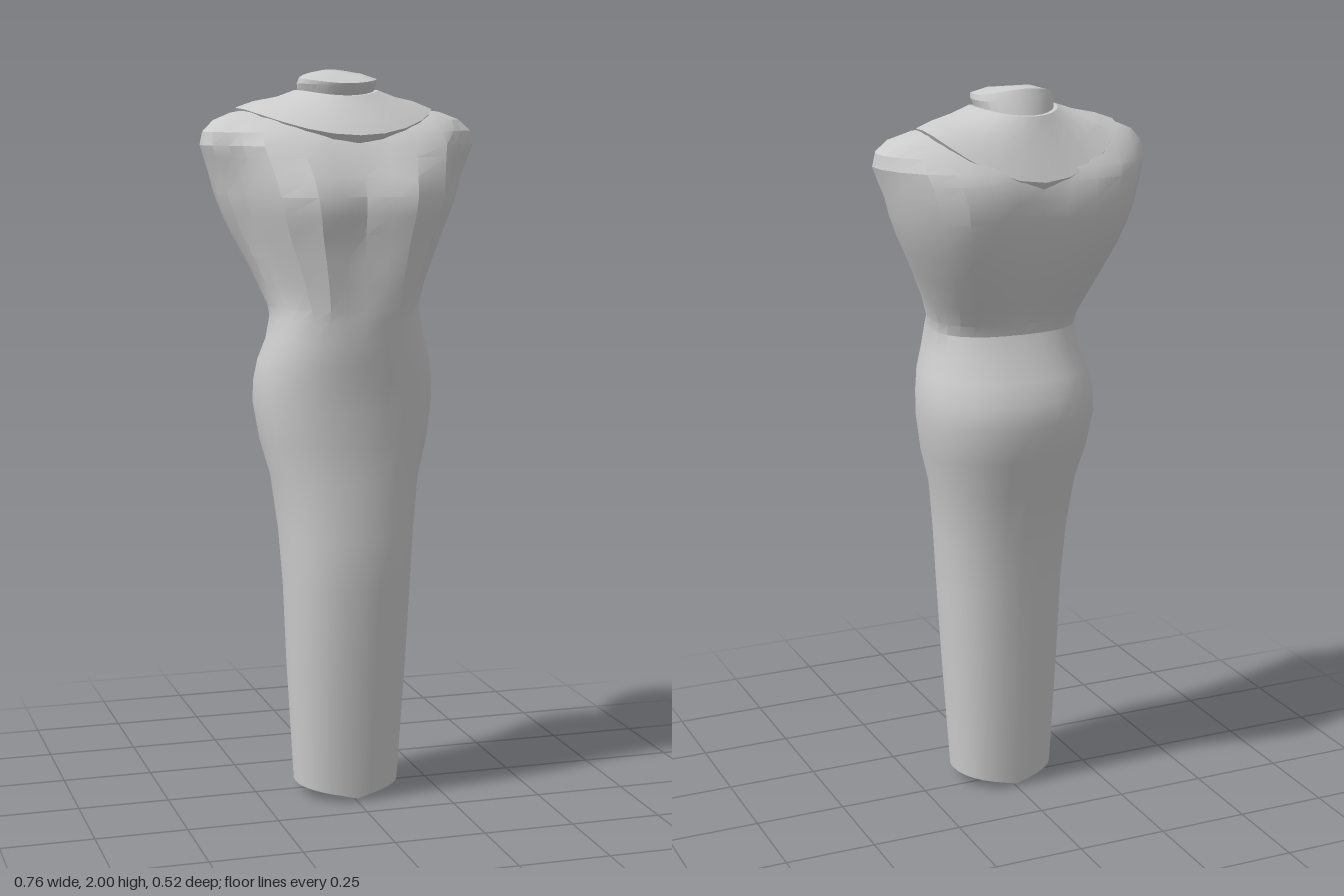
import * as THREE from 'three';
import { toCreasedNormals } from 'three/addons/utils/BufferGeometryUtils.js';

const material = new THREE.MeshStandardMaterial({ color: 0xcccccc, side: THREE.DoubleSide });

// Skin a stack of closed rings (lists of Vector3, bottom to top); optional end points close it.
function loft(rings, bottom, top, crease = 0.4) {
  const n = rings[0].length, pos = [], index = [];
  rings.forEach(r => r.forEach(p => pos.push(p.x, p.y, p.z)));
  for (let j = 0; j < rings.length - 1; j++) {
    for (let i = 0; i < n; i++) {
      const a = j * n + i, b = j * n + (i + 1) % n;
      index.push(a, b, b + n, a, b + n, a + n);
    }
  }
  const cap = (point, start, flip) => {
    const c = pos.length / 3;
    pos.push(point.x, point.y, point.z);
    for (let i = 0; i < n; i++) {
      const a = start + i, b = start + (i + 1) % n;
      index.push(c, flip ? b : a, flip ? a : b);
    }
  };
  if (bottom) cap(bottom, 0, true);
  if (top) cap(top, (rings.length - 1) * n, false);
  const g = new THREE.BufferGeometry();
  g.setAttribute('position', new THREE.Float32BufferAttribute(pos, 3));
  g.setIndex(index);
  return toCreasedNormals(g, crease);
}

// Half outline of the chest, front centre to back centre, with armpit and spine grooves
const CHEST = [[0, 0.93], [0.2, 0.98], [0.4, 1], [0.66, 0.82], [0.77, 0.52], [0.84, 0.3], [0.95, 0.17], [1, 0],
  [0.99, -0.25], [0.92, -0.5], [0.78, -0.78], [0.6, -0.95], [0.4, -1], [0.2, -0.98], [0, -0.94]];
// Half outline of the hips and legs: a slightly squared ellipse
const HIP = CHEST.map((_, i) => {
  const a = i * Math.PI / 14, s = Math.sin(a), c = Math.cos(a);
  return [Math.pow(Math.max(s, 0), 0.88), Math.sign(c) * Math.pow(Math.abs(c), 0.88)];
});

// Levels: y, half width, z of widest point, front z, back z, share of chest outline
const LOWER = [
  [0.035, 0.145, 0.04, 0.16, -0.08, 0],
  [0.37, 0.165, 0.045, 0.188, -0.095, 0],
  [0.6, 0.175, 0.05, 0.21, -0.11, 0],
  [0.75, 0.185, 0.04, 0.215, -0.125, 0],
  [0.9, 0.203, 0.03, 0.202, -0.155, 0],
  [1.0, 0.23, 0.02, 0.204, -0.187, 0],
  [1.1, 0.245, 0.01, 0.208, -0.207, 0],
  [1.16, 0.244, 0.01, 0.213, -0.2, 0],
  [1.22, 0.235, 0.02, 0.222, -0.175, 0],
  [1.28, 0.215, 0.03, 0.23, -0.14, 0],
  [1.34, 0.205, 0.03, 0.235, -0.12, 0.1],
];
const UPPER = [
  [1.37, 0.208, 0.02, 0.238, -0.125, 0.35],
  [1.43, 0.232, 0, 0.242, -0.158, 0.6],
  [1.5, 0.265, -0.01, 0.247, -0.195, 0.8],
  [1.57, 0.3, -0.02, 0.25, -0.226, 0.95],
  [1.62, 0.322, -0.02, 0.261, -0.242, 1],
  [1.67, 0.34, -0.02, 0.26, -0.256, 1],
  [1.72, 0.353, -0.02, 0.238, -0.262, 1],
  [1.77, 0.37, -0.01, 0.203, -0.257, 0.9],
  [1.8, 0.381, -0.01, 0.183, -0.243, 0.8],
  [1.835, 0.375, -0.015, 0.15, -0.215, 0.6],
  [1.865, 0.345, -0.03, 0.105, -0.19, 0.3],
  [1.885, 0.295, -0.05, 0.05, -0.16, 0],
  [1.895, 0.23, -0.06, 0.01, -0.13, 0],
];

function bodyRing([y, w, zc, front, back, k], level) {
  const half = HIP.map(([hx, hz], i) => {
    const u = THREE.MathUtils.lerp(hx, CHEST[i][0], k);
    const v = THREE.MathUtils.lerp(hz, CHEST[i][1], k);
    const z = zc + v * (v > 0 ? front - zc : zc - back);
    // the hem dips to a shallow keel along the middle
    const py = level === 0 ? 0.008 + (y - 0.008) * Math.pow(u, 0.8) : y;
    return new THREE.Vector3(w * u, py, z);
  });
  const mirrored = half.slice(1, -1).reverse().map(p => new THREE.Vector3(-p.x, p.y, p.z));
  return [...half, ...mirrored];
}

// Ellipse in plan whose height follows front, side and back values
function ovalRing(rx, front, back, yFront, ySide, yBack, zc = (front + back) / 2, n = 24) {
  return Array.from({ length: n }, (_, i) => {
    const a = i / n * Math.PI * 2, s = Math.sin(a), c = Math.cos(a);
    const end = c > 0 ? yFront : yBack;
    return new THREE.Vector3(rx * s, ySide + (end - ySide) * c * c,
      zc + c * (c > 0 ? front - zc : zc - back));
  });
}

export function createModel() {
  const group = new THREE.Group();
  const add = (name, geometry) => {
    const mesh = new THREE.Mesh(geometry, material);
    mesh.name = name;
    group.add(mesh);
  };

  // Torso, hips and joined legs
  add('body', loft([...LOWER, ...UPPER].map(bodyRing),
    new THREE.Vector3(0, 0, 0.04), new THREE.Vector3(0, 1.9, -0.06)));

  // Draped collar with a thin raised rim, rising to the neck
  add('collar', loft([
    ovalRing(0.262, 0.165, -0.245, 1.805, 1.88, 1.75, -0.09),
    ovalRing(0.272, 0.182, -0.257, 1.828, 1.898, 1.77, -0.09),
    ovalRing(0.225, 0.15, -0.225, 1.865, 1.915, 1.84, -0.08),
    ovalRing(0.165, 0.112, -0.203, 1.9, 1.927, 1.89, -0.06),
    ovalRing(0.113, 0.08, -0.185, 1.93, 1.945, 1.93),
  ], null, new THREE.Vector3(0, 1.935, -0.05)));

  // Neck stump with a top sloping down to the front
  add('neck', loft([
    ovalRing(0.1, 0.06, -0.175, 1.925, 1.935, 1.92),
    ovalRing(0.108, 0.076, -0.16, 1.957, 1.962, 1.965),
    ovalRing(0.105, 0.078, -0.145, 1.963, 1.975, 1.997),
    ovalRing(0.06, 0.04, -0.105, 1.975, 1.99, 2.0),
  ], null, new THREE.Vector3(0, 1.992, -0.035)));

  return group;
}
